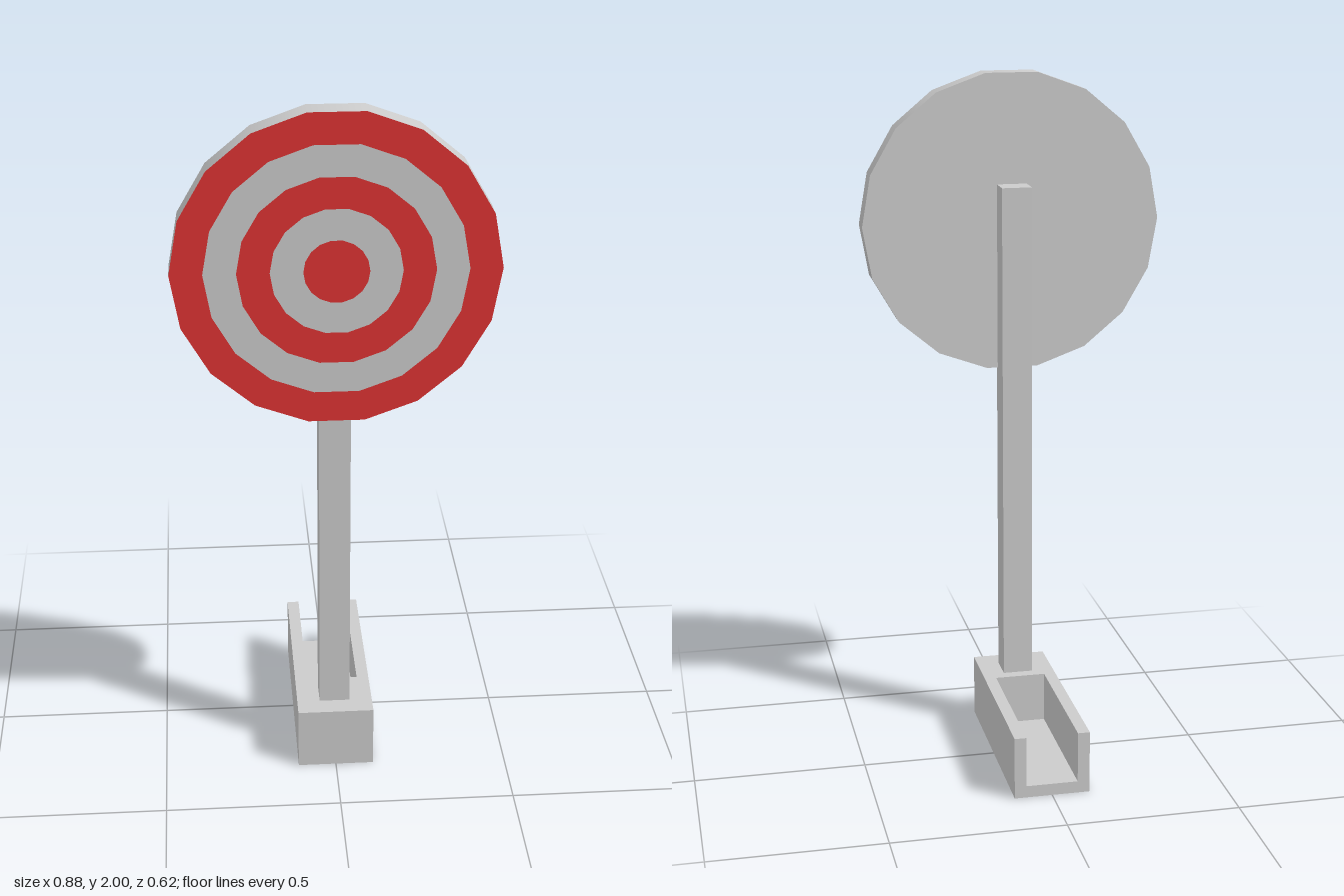
import * as THREE from 'three';

const SIDES = 18;
const R = 0.44;
const DISC_Y = 1.567;
const FRONT = 0.31;
const BACK = 0.24;

export function createModel() {
  const model = new THREE.Group();
  const grey = new THREE.MeshStandardMaterial({ color: 0xcccccc });
  const red = new THREE.MeshStandardMaterial({ color: 0xdd3333 });

  const add = (parent, name, geometry, material, x, y, z) => {
    const mesh = new THREE.Mesh(geometry, material);
    mesh.name = name;
    mesh.position.set(x, y, z);
    parent.add(mesh);
    return mesh;
  };

  // Base: solid block under the post, with an open U channel running to the back
  const base = new THREE.Group();
  base.name = 'base';
  model.add(base);
  const w = 0.11, h = 0.185, inner = 0.075, floor = 0.035, split = 0.133;
  add(base, 'baseBlock', new THREE.BoxGeometry(2 * w, h, FRONT - split), grey, 0, h / 2, (FRONT + split) / 2);
  const channel = new THREE.Shape([
    [-w, 0], [w, 0], [w, h], [inner, h], [inner, floor], [-inner, floor], [-inner, h], [-w, h],
  ].map(([x, y]) => new THREE.Vector2(x, y)));
  add(base, 'baseChannel',
    new THREE.ExtrudeGeometry(channel, { depth: split + FRONT, bevelEnabled: false }), grey, 0, 0, -FRONT);

  // Post, let slightly into the back of the disc
  add(model, 'post', new THREE.BoxGeometry(0.088, 1.68 - h, 0.085), grey, 0, (1.68 + h) / 2, 0.2085);

  // Target disc: rim, back and concentric front bands
  const target = new THREE.Group();
  target.name = 'target';
  target.position.y = DISC_Y;
  model.add(target);
  const rim = new THREE.CylinderGeometry(R, R, FRONT - BACK, SIDES, 1, true, Math.PI / 2).rotateX(Math.PI / 2);
  add(target, 'rim', rim, grey, 0, 0, (FRONT + BACK) / 2);
  add(target, 'discBack', new THREE.CircleGeometry(R, SIDES).rotateY(Math.PI), grey, 0, 0, BACK);

  const step = R / 5;
  add(target, 'bullseye', new THREE.CircleGeometry(step, SIDES), red, 0, 0, FRONT);
  for (let i = 1; i < 5; i++) {
    add(target, `band${i}`, new THREE.RingGeometry(i * step, (i + 1) * step, SIDES),
      i % 2 ? grey : red, 0, 0, FRONT);
  }
  return model;
}
